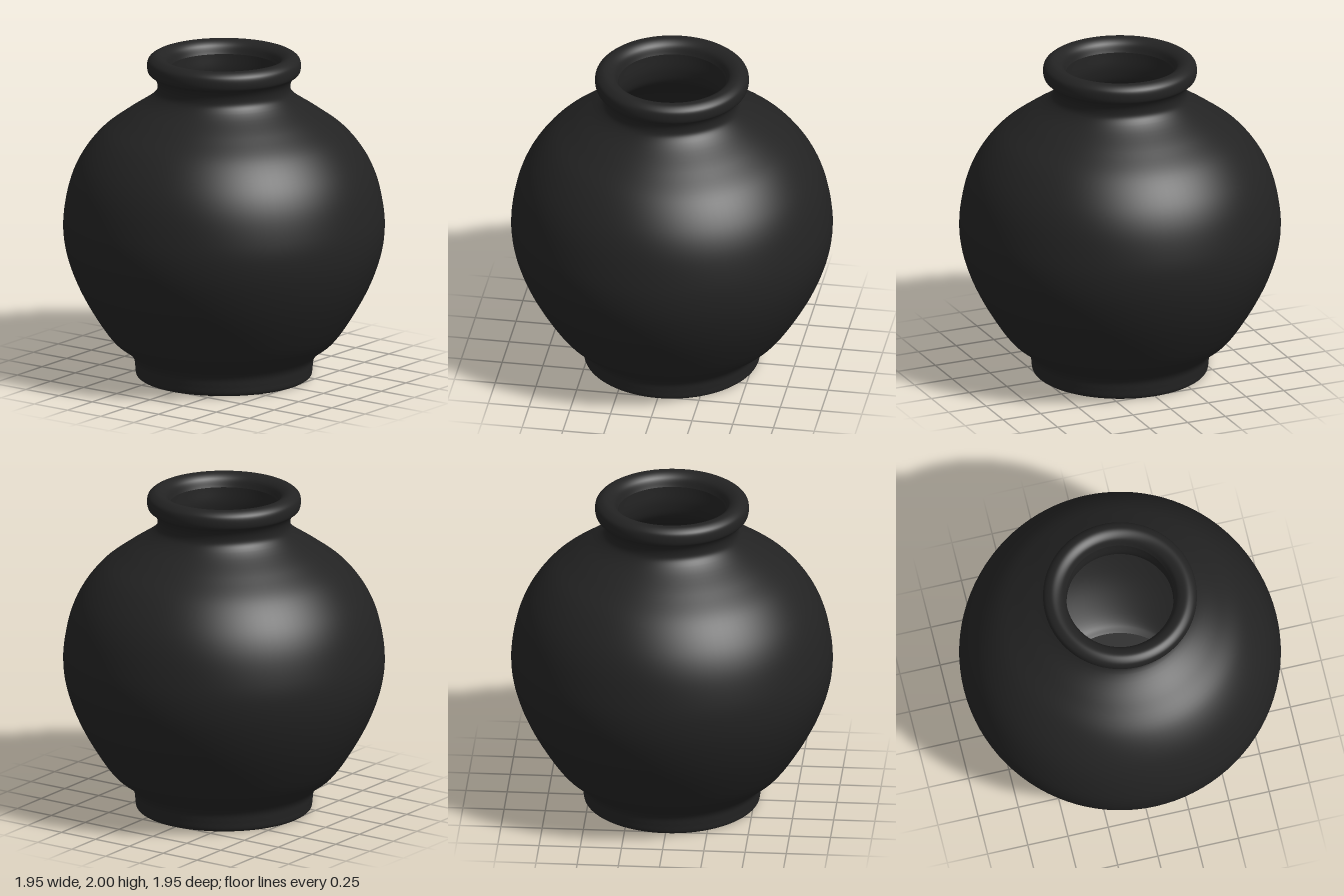
import * as THREE from 'three';

const SEGMENTS = 96;

// Smooth lathe through a few [radius, height] points
function lathe(name, pts, samples, material) {
  const curve = new THREE.CatmullRomCurve3(
    pts.map(([r, y]) => new THREE.Vector3(r, y, 0)), false, 'centripetal');
  const profile = curve.getPoints(samples).map(p => new THREE.Vector2(Math.max(p.x, 0), p.y));
  const mesh = new THREE.Mesh(new THREE.LatheGeometry(profile, SEGMENTS), material);
  mesh.name = name;
  return mesh;
}

function disc(name, radius, y, up, material) {
  const mesh = new THREE.Mesh(new THREE.CircleGeometry(radius, SEGMENTS), material);
  mesh.rotation.x = up ? -Math.PI / 2 : Math.PI / 2;
  mesh.position.y = y;
  mesh.name = name;
  return mesh;
}

export function createModel() {
  const group = new THREE.Group();
  group.name = 'vase';
  const glaze = new THREE.MeshStandardMaterial({ color: 0x232323 });
  glaze.name = 'black glaze';

  // Foot, round belly, neck and rolled lip, ending at the mouth
  group.add(lathe('outerWall', [
    [0.515, 0], [0.53, 0.012], [0.537, 0.06], [0.545, 0.11], [0.575, 0.155],
    [0.67, 0.23], [0.79, 0.4], [0.895, 0.6], [0.955, 0.78], [0.973, 0.92],
    [0.965, 1.05], [0.925, 1.23], [0.86, 1.37], [0.75, 1.51], [0.6, 1.625],
    [0.44, 1.735], [0.405, 1.78], [0.405, 1.83], [0.428, 1.872], [0.457, 1.892],
    [0.466, 1.93], [0.458, 1.97], [0.42, 1.997], [0.385, 1.995], [0.348, 1.97],
    [0.327, 1.92],
  ], 150, glaze));

  // Hollow inside, following the belly down to the floor
  group.add(lathe('innerWall', [
    [0.327, 1.92], [0.325, 1.8], [0.36, 1.7], [0.55, 1.56], [0.69, 1.46],
    [0.85, 1.21], [0.895, 0.92], [0.83, 0.62], [0.72, 0.41], [0.6, 0.26],
    [0.47, 0.14], [0.42, 0.12],
  ], 70, glaze));

  group.add(disc('innerFloor', 0.42, 0.12, true, glaze));
  group.add(disc('base', 0.515, 0, false, glaze));
  return group;
}
